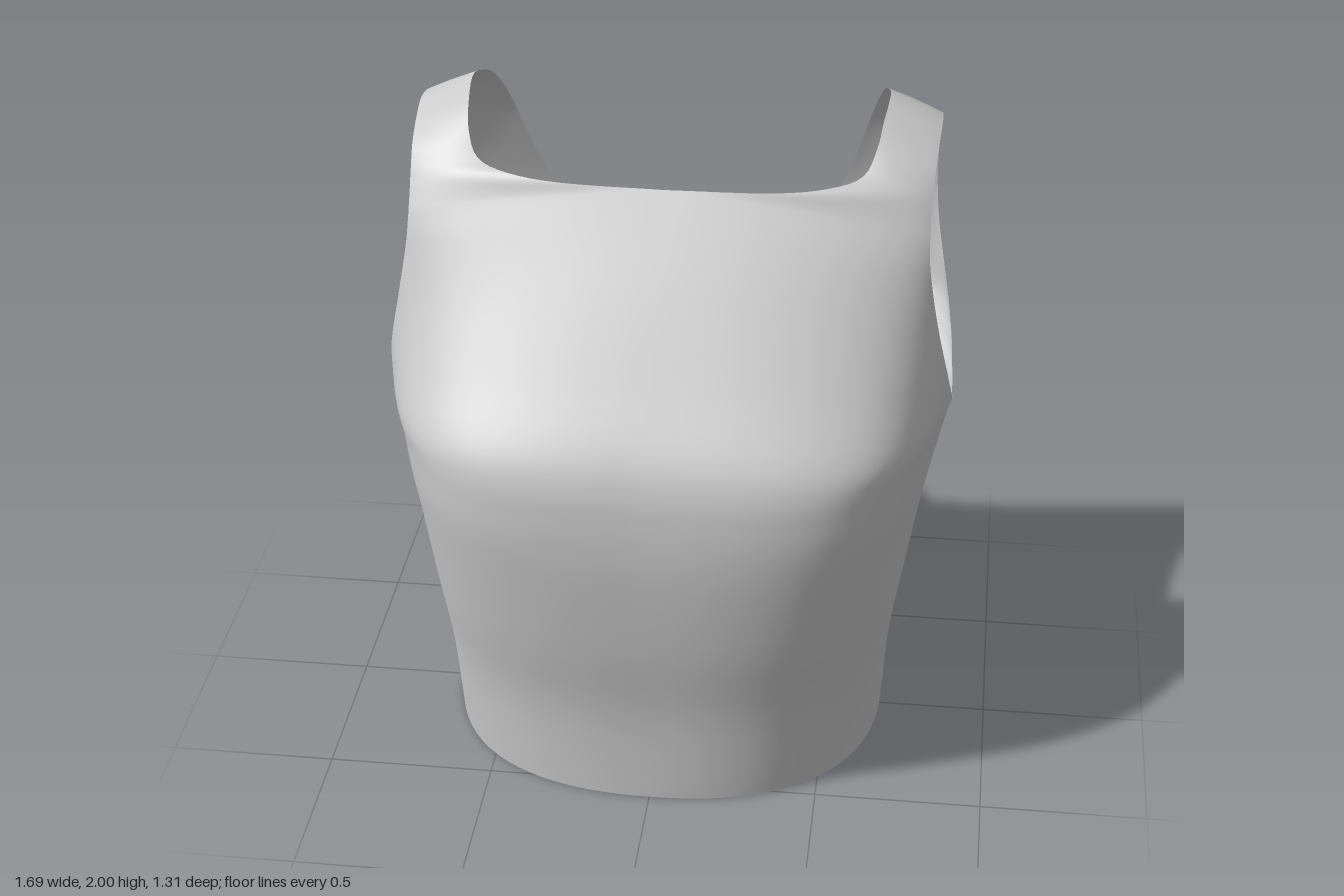
import * as THREE from 'three';
import { mergeVertices } from 'three/addons/utils/BufferGeometryUtils.js';

// Each row crosses one half of the garment, from its inner end (centre line or
// neckline) past a soft corner to its outer end (side seam or armhole):
// [inner xyz], [corner xyz], [outer xyz], roundness (higher = boxier)

// Torso, hem to armpit: y, centre z, corner x, corner z, side x, side z, roundness
const torsoFront = [
  [0, 0.57, 0.66, 0.58, 0.67, -0.03, 0.64],
  [0.3, 0.585, 0.68, 0.60, 0.69, -0.03, 0.69],
  [0.55, 0.625, 0.70, 0.64, 0.73, -0.04, 0.75],
  [0.8, 0.652, 0.715, 0.67, 0.775, -0.06, 0.81],
  [0.95, 0.655, 0.725, 0.68, 0.81, -0.08, 0.85],
  [1.07, 0.645, 0.73, 0.675, 0.84, -0.1, 0.87],
].map(torsoRow);
const torsoBack = [
  [0, -0.50, 0.66, -0.50, 0.67, -0.03, 0.62],
  [0.3, -0.49, 0.69, -0.50, 0.69, -0.03, 0.64],
  [0.55, -0.52, 0.74, -0.53, 0.73, -0.04, 0.66],
  [0.8, -0.565, 0.785, -0.575, 0.775, -0.06, 0.69],
  [0.95, -0.595, 0.81, -0.605, 0.81, -0.08, 0.71],
  [1.07, -0.62, 0.825, -0.625, 0.84, -0.1, 0.73],
].map(torsoRow);

function torsoRow([y, cz, kx, kz, sx, sz, k]) {
  return [[0, y, cz], [kx, y, kz], [sx, y, sz], k];
}

// Chest panel, armpit to neckline
const chest = [
  [[0, 1.2, 0.60], [0.73, 1.18, 0.635], [0.843, 1.15, 0.03], 0.85],
  [[0, 1.38, 0.472], [0.70, 1.34, 0.51], [0.825, 1.28, 0.12], 0.78],
  [[0, 1.58, 0.328], [0.66, 1.54, 0.36], [0.79, 1.45, 0.15], 0.7],
  [[0, 1.73, 0.215], [0.63, 1.69, 0.25], [0.762, 1.61, 0.14], 0.64],
  [[0, 1.83, 0.14], [0.60, 1.79, 0.18], [0.755, 1.70, 0.115], 0.6],
];
// Upper back, armpit to the bottom of the scoop
const nape = [
  [[0, 1.18, -0.642], [0.83, 1.13, -0.635], [0.838, 1.10, -0.25], 0.73],
  [[0, 1.29, -0.652], [0.82, 1.19, -0.638], [0.83, 1.15, -0.37], 0.72],
];
// Strap, front neckline over the shoulder and down to the scoop
const strap = [
  [[0.3, 1.834, 0.136], [0.63, 1.81, 0.14], [0.755, 1.76, 0.08], 0.6],
  [[0.46, 1.846, 0.112], [0.65, 1.83, 0.11], [0.756, 1.79, 0.06], 0.6],
  [[0.555, 1.865, 0.06], [0.66, 1.85, 0.08], [0.757, 1.825, 0.035], 0.6],
  [[0.59, 1.925, 0], [0.67, 1.90, 0.02], [0.76, 1.87, -0.01], 0.6],
  [[0.603, 1.975, -0.08], [0.69, 1.945, -0.08], [0.765, 1.91, -0.1], 0.6],
  [[0.615, 2, -0.21], [0.69, 1.97, -0.21], [0.77, 1.93, -0.21], 0.6],
  [[0.607, 1.985, -0.3], [0.69, 1.95, -0.32], [0.768, 1.91, -0.32], 0.6],
  [[0.585, 1.93, -0.41], [0.68, 1.90, -0.42], [0.765, 1.85, -0.4], 0.6],
  [[0.55, 1.81, -0.50], [0.67, 1.79, -0.51], [0.76, 1.74, -0.47], 0.6],
  [[0.51, 1.66, -0.56], [0.68, 1.65, -0.565], [0.76, 1.6, -0.52], 0.6],
  [[0.45, 1.505, -0.612], [0.70, 1.49, -0.595], [0.77, 1.47, -0.53], 0.62],
  [[0.34, 1.38, -0.643], [0.74, 1.36, -0.615], [0.79, 1.35, -0.51], 0.65],
  [[0.18, 1.308, -0.652], [0.79, 1.26, -0.63], [0.815, 1.22, -0.46], 0.69],
];

const COLUMNS = 20, STEPS = 4;

// Smooth grid of points through the key rows; the first `lead` rows only guide the tangent
function patch(rows, lead = 0) {
  const curve = (f) => new THREE.CatmullRomCurve3(rows.map(f), false, 'catmullrom', 0.5);
  const [inner, corner, outer] = [0, 1, 2].map((c) => curve((r) => new THREE.Vector3(...r[c])));
  const round = curve((r) => new THREE.Vector3(r[3], 0, 0));
  const n = (rows.length - 1) * STEPS;
  const grid = [];
  for (let i = lead * STEPS; i <= n; i++) {
    const t = i / n;
    const a = inner.getPoint(t), c = corner.getPoint(t), b = outer.getPoint(t), k = round.getPoint(t).x;
    const across = new THREE.CubicBezierCurve3(a, a.clone().lerp(c, k), b.clone().lerp(c, k), b);
    grid.push(across.getPoints(COLUMNS));
  }
  return grid;
}

// Add a grid and its mirror image, both facing outwards
function addPatch(positions, indices, grid, flip) {
  const w = COLUMNS + 1;
  for (const side of [1, -1]) {
    const base = positions.length / 3;
    for (const row of grid) for (const p of row) positions.push(side * p.x, p.y, p.z);
    for (let i = 0; i < grid.length - 1; i++) {
      for (let j = 0; j < COLUMNS; j++) {
        const a = base + i * w + j, b = a + 1, c = a + w + 1, d = a + w;
        if ((side < 0) !== flip) indices.push(a, c, b, a, d, c);
        else indices.push(a, b, c, a, c, d);
      }
    }
  }
}

export function createModel() {
  const positions = [], indices = [];
  addPatch(positions, indices, patch(torsoFront), false);
  addPatch(positions, indices, patch(torsoBack), true);
  addPatch(positions, indices, patch([...torsoFront.slice(-2), ...chest], 1), false);
  addPatch(positions, indices, patch([...torsoBack.slice(-2), ...nape], 1), true);
  addPatch(positions, indices, patch([chest.at(-1), ...strap, nape.at(-1)]), false);

  // Weld the seams so the cloth shades smoothly
  let geometry = new THREE.BufferGeometry();
  geometry.setAttribute('position', new THREE.Float32BufferAttribute(positions, 3));
  geometry.setIndex(indices);
  geometry = mergeVertices(geometry, 1e-4);
  geometry.computeVertexNormals();

  const material = new THREE.MeshStandardMaterial({ color: 0xcccccc, side: THREE.DoubleSide });
  const top = new THREE.Mesh(geometry, material);
  top.name = 'sleevelessTop';
  const group = new THREE.Group();
  group.name = 'garment';
  group.add(top);
  return group;
}
